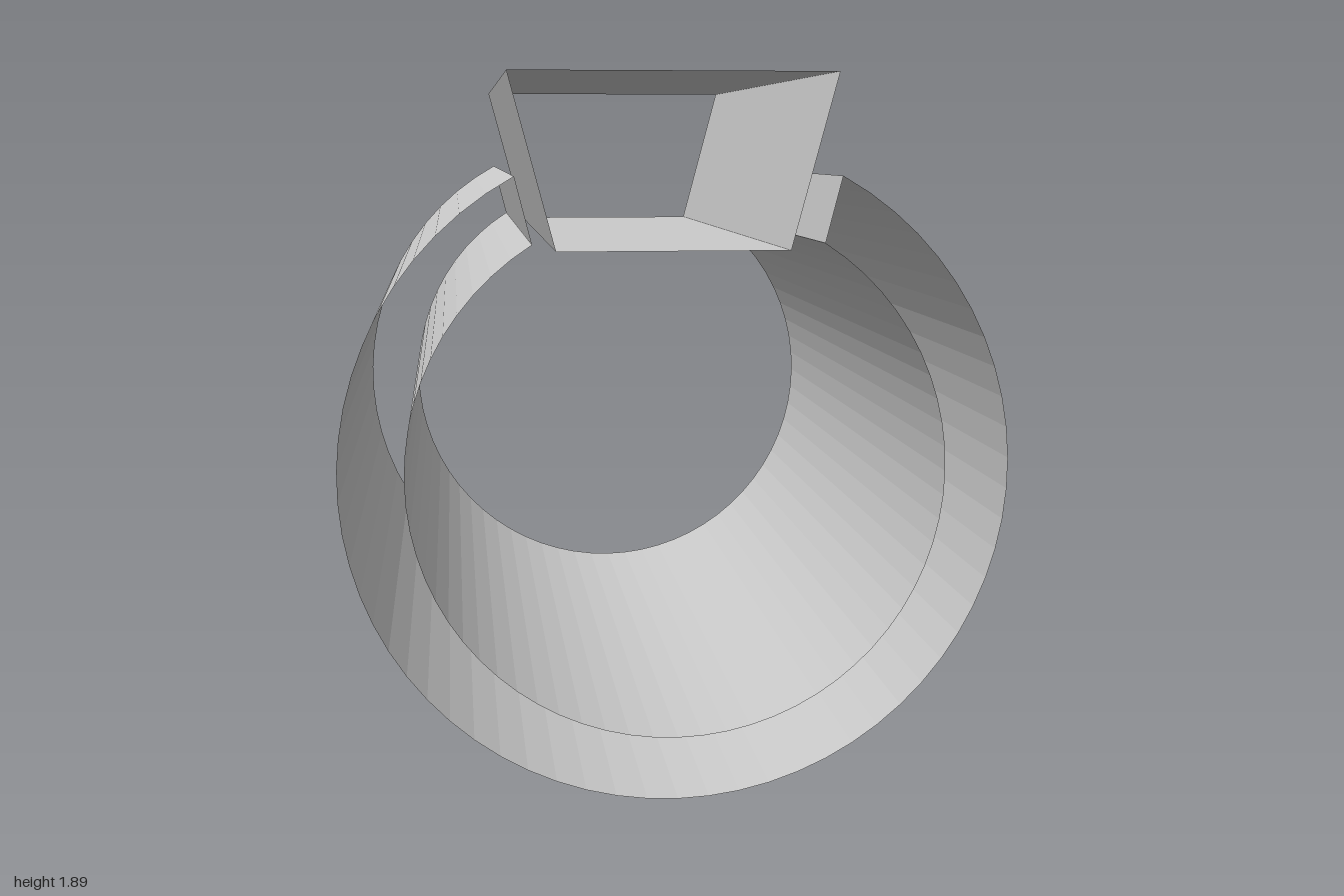
import * as THREE from 'three';

const LENGTH = 2;
const material = new THREE.MeshStandardMaterial({ color: 0xcccccc, flatShading: true, side: THREE.DoubleSide });

// Sweeps a closed outline (counter-clockwise in x, y) along z, leaving both ends open
function openPrism(name, outline) {
  const pos = [];
  const h = LENGTH / 2;
  outline.forEach((a, i) => {
    const b = outline[(i + 1) % outline.length];
    pos.push(a.x, a.y, h, a.x, a.y, -h, b.x, b.y, -h);
    pos.push(a.x, a.y, h, b.x, b.y, -h, b.x, b.y, h);
  });
  const geometry = new THREE.BufferGeometry();
  geometry.setAttribute('position', new THREE.Float32BufferAttribute(pos, 3));
  geometry.computeVertexNormals();
  const mesh = new THREE.Mesh(geometry, material);
  mesh.name = name;
  return mesh;
}

// Points on an arc that runs under the tube from one slot lip to the other
function arc(radius, centreY, lipX, segments) {
  const start = Math.acos(lipX / radius); // angle of the +x lip
  const points = [];
  for (let i = 0; i <= segments; i++) {
    const t = Math.PI - start + (i / segments) * (Math.PI + 2 * start);
    points.push(new THREE.Vector2(radius * Math.cos(t), centreY + radius * Math.sin(t)));
  }
  return points;
}

export function createModel() {
  const group = new THREE.Group();
  group.name = 'slottedTubeWithWedge';

  // Double-walled tube with a slot along the top, lips parallel to the wedge sides
  const R = 0.868;
  const outer = arc(R, R, 0.415, 56);
  const inner = arc(0.7, R, 0.372, 56).reverse();
  group.add(openPrism('slottedTube', [...outer, ...inner]));

  // Hollow wedge bar sitting in the slot
  const cx = -0.014;
  const wedge = [[-0.298, 1.443], [0.298, 1.443], [0.417, 1.89], [-0.417, 1.89]]
    .map(([x, y]) => new THREE.Vector2(cx + x, y));
  group.add(openPrism('wedgeBar', wedge));

  return group;
}
